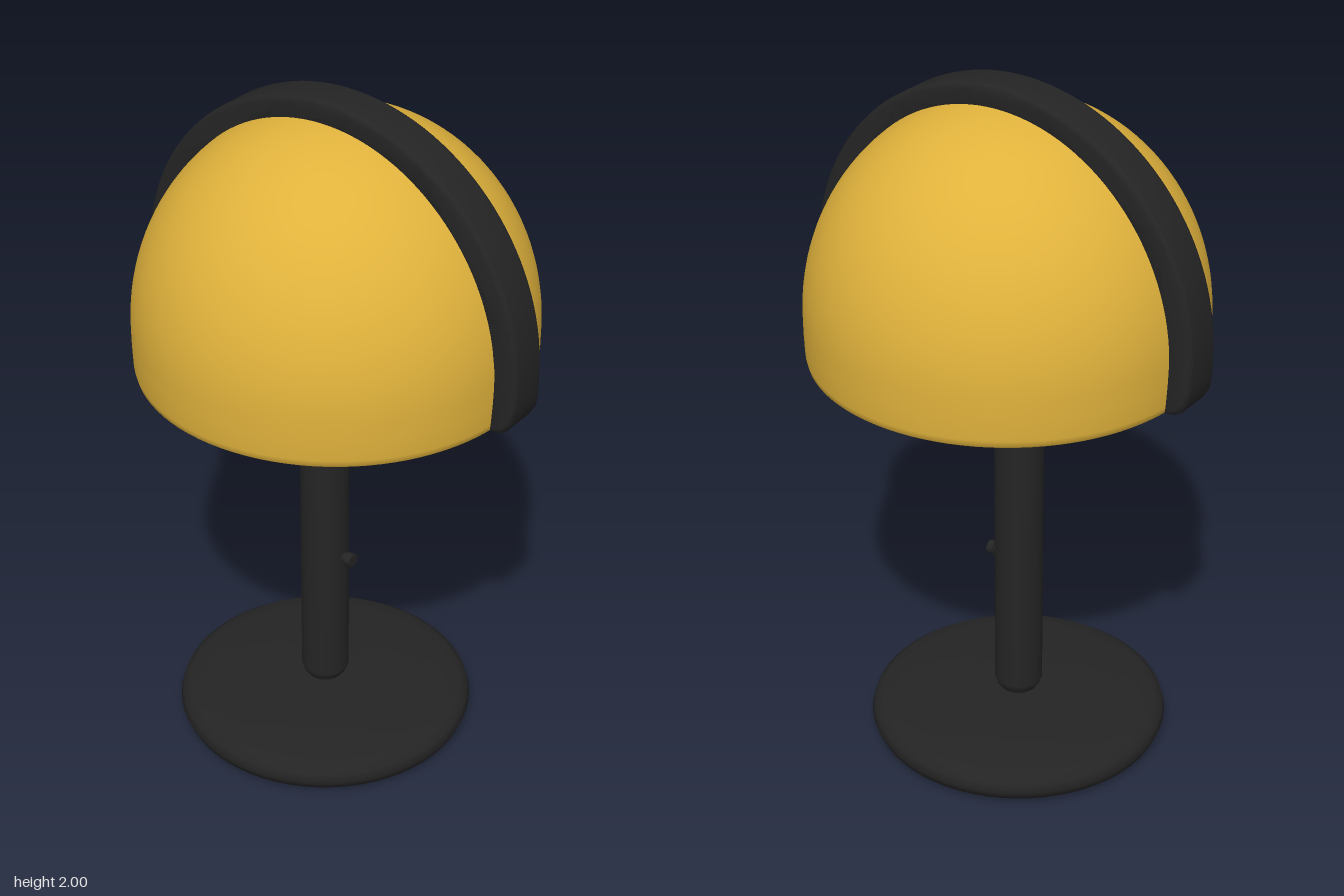
import * as THREE from 'three';
import { toCreasedNormals } from 'three/addons/utils/BufferGeometryUtils.js';

const yellow = new THREE.MeshStandardMaterial({ color: 0xe0b23c });
yellow.name = 'yellow shade';
const black = new THREE.MeshStandardMaterial({ color: 0x242424 });
black.name = 'black metal';
const lining = new THREE.MeshStandardMaterial({ color: 0x232323, side: THREE.DoubleSide });
lining.name = 'dark lining';

const STEM_X = -0.04;

// quarter ellipse from the widest point up to the crown
function quarter(rx, ry, cy, n = 32) {
  return Array.from({ length: n + 1 }, (_, i) => {
    const a = (i / n) * Math.PI / 2;
    return [i === n ? 0 : rx * Math.cos(a), cy + ry * Math.sin(a)];
  });
}

function lathe(points, segments = 64) {
  return new THREE.LatheGeometry(points.map(([x, y]) => new THREE.Vector2(x, y)), segments);
}

// arch outline hugging the shade, extruded with soft bevelled edges
function bandGeometry() {
  const foot = [[0.54, 1.216], [0.57, 1.218], [0.59, 1.23], [0.606, 1.258], [0.613, 1.30]];
  const outer = [...foot, ...quarter(0.615, 0.635, 1.365)];
  const inner = quarter(0.535, 0.575, 1.35);
  const mirror = (pts) => pts.slice().reverse().filter(([x]) => x > 0).map(([x, y]) => [-x, y]);
  const outline = [...outer, ...mirror(outer), ...mirror(inner).reverse(), ...inner.slice().reverse()];
  const bevel = 0.016;
  const depth = 0.126 - 2 * bevel;
  const geo = new THREE.ExtrudeGeometry(
    new THREE.Shape(outline.map(([x, y]) => new THREE.Vector2(x, y))),
    { depth, bevelEnabled: true, bevelSize: bevel, bevelThickness: bevel, bevelOffset: -bevel, bevelSegments: 4, steps: 1 }
  );
  geo.translate(0, 0, -depth / 2);
  // feet widen slightly towards the rim
  const p = geo.attributes.position;
  for (let i = 0; i < p.count; i++) {
    const t = THREE.MathUtils.clamp((1.36 - p.getY(i)) / 0.1, 0, 1);
    p.setZ(i, p.getZ(i) * (1 + 0.13 * t));
  }
  return toCreasedNormals(geo, 0.7);
}

export function createModel() {
  const model = new THREE.Group();
  model.name = 'tableLamp';
  const add = (name, geometry, material, x = 0, y = 0, z = 0, parent = model) => {
    const mesh = new THREE.Mesh(geometry, material);
    mesh.name = name;
    mesh.position.set(x, y, z);
    parent.add(mesh);
    return mesh;
  };

  // round foot with a soft edge and a slightly domed top
  add('base', lathe([
    [0, 0], [0.36, 0.002], [0.40, 0.006], [0.425, 0.02], [0.435, 0.045], [0.428, 0.07],
    [0.405, 0.087], [0.35, 0.098], [0.2, 0.111], [0, 0.117],
  ]), black, STEM_X);

  // stem with a narrowed neck, running up into the shade
  add('stem', lathe([
    [0, 0.1], [0.052, 0.1], [0.052, 0.122], [0.063, 0.13], [0.07, 0.15], [0.07, 1.88], [0, 1.88],
  ], 40), black, STEM_X);

  // two small switches on the stem's left side
  for (const y of [0.92, 0.56]) {
    const knob = new THREE.Group();
    knob.name = 'switch';
    knob.position.set(0, y, 0);
    model.add(knob);
    add('switchPin', new THREE.CylinderGeometry(0.015, 0.015, 0.04, 16).rotateZ(Math.PI / 2), black, 0.03, 0, 0, knob);
    add('switchCap', new THREE.CylinderGeometry(0.02, 0.02, 0.02, 16).rotateZ(Math.PI / 2), black, 0.052, 0, 0, knob);
  }

  // domed shade with a rolled rim
  add('shade', lathe([
    [0.525, 1.225], [0.53, 1.217], [0.54, 1.215], [0.549, 1.222], [0.553, 1.24], [0.555, 1.3],
    ...quarter(0.555, 0.595, 1.35),
  ], 96), yellow);
  add('shadeLining', lathe([[0.525, 1.225], [0.53, 1.3], ...quarter(0.53, 0.57, 1.35)], 96), lining);

  // broad strap over the shade from side to side
  add('band', bandGeometry(), black);

  return model;
}
